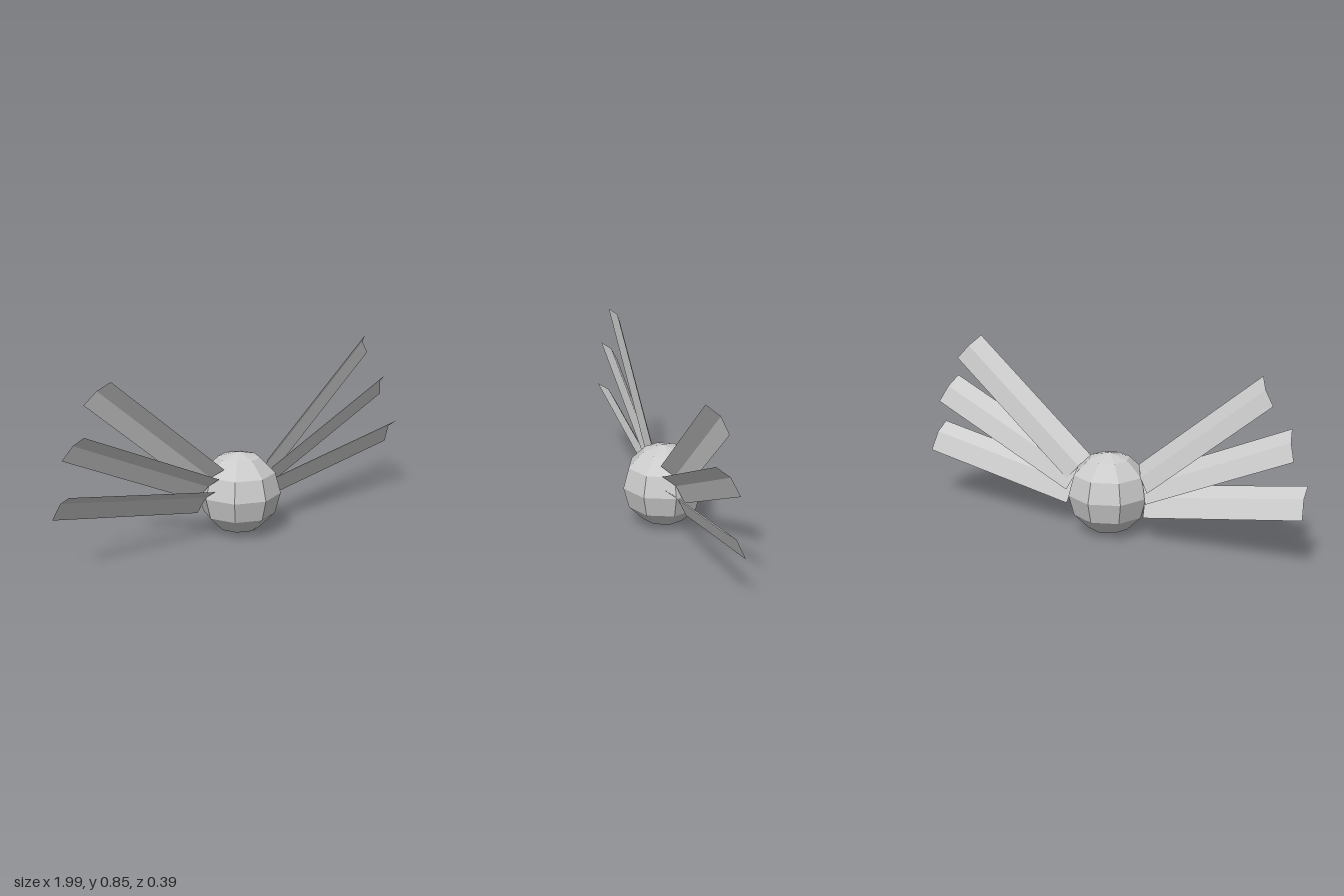
import * as THREE from 'three';

const bodyGrey = new THREE.MeshStandardMaterial({ color: 0xcccccc, flatShading: true });
bodyGrey.name = 'body grey';
bodyGrey.side = THREE.DoubleSide;

const LENGTH = 0.8;

// One folded strip: a three-point cross-section swept along a straight line.
function makeBlade({ tip, angle, section }, side) {
  const a = THREE.MathUtils.degToRad(angle);
  const cos = Math.cos(a), sin = Math.sin(a);
  const positions = [];
  for (const along of [0, -LENGTH]) {
    for (const [down, z] of section) {
      positions.push(
        side * (tip[0] + along * cos + down * sin),
        tip[1] + along * sin - down * cos,
        z
      );
    }
  }
  const index = [];
  for (let i = 0; i < 2; i++) {
    const quad = [i, i + 3, i + 1, i + 1, i + 3, i + 4];
    index.push(...(side > 0 ? quad : quad.reverse()));
  }
  const indexed = new THREE.BufferGeometry();
  indexed.setAttribute('position', new THREE.Float32BufferAttribute(positions, 3));
  indexed.setIndex(index);
  const geometry = indexed.toNonIndexed();
  geometry.computeVertexNormals();
  return new THREE.Mesh(geometry, bodyGrey);
}

// Outer top corner, slope, and section as [distance below top edge, z].
const blades = [
  { name: 'lower', tip: [0.975, 0.385], angle: 9.9, section: [[0, 0.056], [0.042, -0.004], [0.132, -0.042]] },
  { name: 'middle', tip: [0.89, 0.635], angle: 24.5, section: [[0, 0.056], [0.05, -0.002], [0.133, -0.034]] },
  { name: 'upper', tip: [0.745, 0.855], angle: 39.8, section: [[0, 0.054], [0.058, -0.001], [0.142, -0.021]] },
];

export function createModel() {
  const model = new THREE.Group();
  model.name = 'wingedBall';

  // Faceted ball
  const ball = new THREE.Mesh(new THREE.SphereGeometry(0.197, 8, 6), bodyGrey);
  ball.name = 'ball';
  ball.position.y = 0.198;
  model.add(ball);

  // Three folded blades fanned out on each side
  for (const side of [1, -1]) {
    const wing = new THREE.Group();
    wing.name = side > 0 ? 'leftWing' : 'rightWing';
    for (const blade of blades) {
      // The right wing is twisted slightly further back at its lower edge
      const [top, fold, [down, z]] = blade.section;
      const bottom = side > 0 ? [down, z] : [down - 0.005, z - 0.008];
      const mesh = makeBlade({ ...blade, section: [top, fold, bottom] }, side);
      mesh.name = blade.name + 'Blade';
      wing.add(mesh);
    }
    model.add(wing);
  }
  return model;
}
